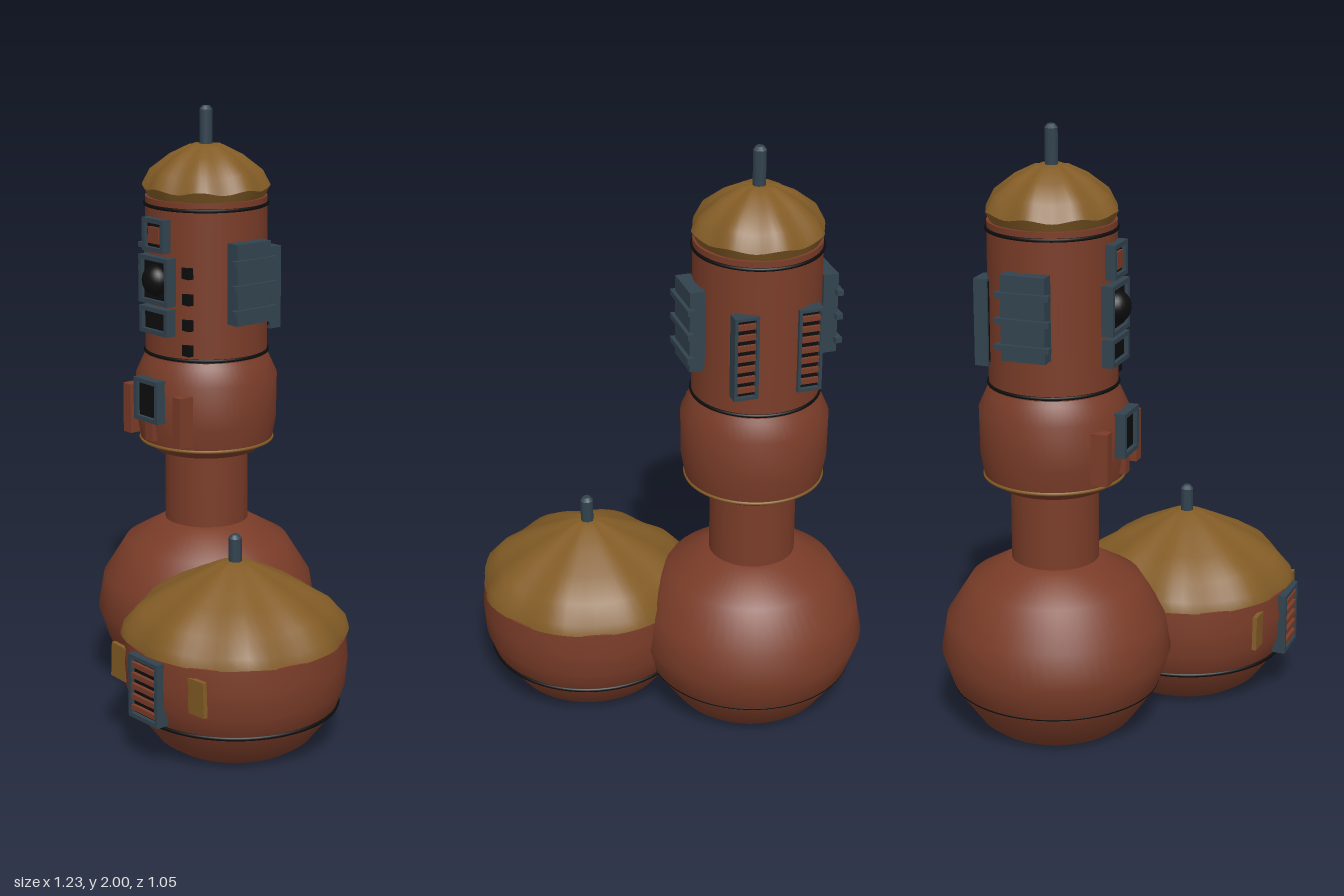
import * as THREE from 'three';
import { toCreasedNormals } from 'three/addons/utils/BufferGeometryUtils.js';

const paint = (name, color) => {
  const m = new THREE.MeshStandardMaterial({ color });
  m.name = name;
  return m;
};

export function createModel() {
  const clay = paint('clay', 0x7a3c28);
  const thatch = paint('ochre', 0x835c26);
  const slate = paint('slate', 0x32434f);
  const black = paint('black', 0x0d0d0e);

  const model = new THREE.Group();
  const tower = new THREE.Group();
  tower.name = 'tower';
  tower.position.set(-0.24, 0, -0.15);
  const hut = new THREE.Group();
  hut.name = 'hut';
  hut.position.set(0.25, 0, 0.137);
  model.add(tower, hut);

  const add = (parent, name, geometry, material, x = 0, y = 0, z = 0) => {
    const mesh = new THREE.Mesh(geometry, material);
    mesh.name = name;
    mesh.position.set(x, y, z);
    parent.add(mesh);
    return mesh;
  };
  const box = (parent, name, mat, w, h, d, x, y, z) =>
    add(parent, name, new THREE.BoxGeometry(w, h, d), mat, x, y, z);
  const turned = (parent, name, mat, profile) => {
    const points = profile.map(([r, y]) => new THREE.Vector2(r, y));
    return add(parent, name, toCreasedNormals(new THREE.LatheGeometry(points, 64), 0.62), mat);
  };
  const ring = (parent, name, mat, radius, y, tube = 0.006) => {
    add(parent, name, new THREE.TorusGeometry(radius, tube, 8, 64), mat, 0, y, 0).rotation.x = Math.PI / 2;
  };

  // Roof with eight soft ridges and a scalloped hem
  const roof = (parent, profile, wave, turn) => {
    const points = profile.map(([r, y]) => new THREE.Vector2(r, y));
    const g = new THREE.LatheGeometry(points, 64);
    const p = g.attributes.position;
    const rMax = Math.max(...profile.map((q) => q[0]));
    for (let i = 0; i < p.count; i++) {
      const x = p.getX(i), z = p.getZ(i), t = Math.hypot(x, z) / rMax;
      const c = Math.cos(8 * (Math.atan2(z, x) + turn));
      const k = 1 + wave * t * c;
      p.setXYZ(i, x * k, p.getY(i) + 0.006 * t * c, z * k);
    }
    add(parent, 'roof', toCreasedNormals(g, 0.8), thatch);
  };
  const finial = (parent, y0, y1) => {
    add(parent, 'finial', new THREE.CylinderGeometry(0.022, 0.022, y1 - y0 - 0.012, 8), slate, 0, (y0 + y1 - 0.012) / 2, 0);
    add(parent, 'finialTip', new THREE.CylinderGeometry(0.012, 0.022, 0.012, 8), slate, 0, y1 - 0.006, 0);
  };

  // Rectangular frame with a dark pane, facing +z
  const framed = (parent, name, w, h, d, x, y, z, edge = 0.015) => {
    const group = new THREE.Group();
    group.name = name;
    group.position.set(x, y, z);
    parent.add(group);
    const rect = (shape, a, b) => shape.moveTo(-a, -b).lineTo(a, -b).lineTo(a, b).lineTo(-a, b).closePath();
    const shape = rect(new THREE.Shape(), w / 2, h / 2);
    shape.holes.push(rect(new THREE.Path(), w / 2 - edge, h / 2 - edge));
    add(group, 'frame', new THREE.ExtrudeGeometry(shape, { depth: d, bevelEnabled: false }), slate);
    box(group, 'pane', black, w - 2 * edge, h - 2 * edge, d * 0.7, 0, 0, d * 0.35);
    return group;
  };
  const slats = (group, count, w, span, thick, z) => {
    for (let i = 0; i < count; i++) {
      box(group, 'slat', clay, w, thick, 0.012, 0, ((i + 0.5) / count - 0.5) * span, z);
    }
  };

  // Tower shell
  turned(tower, 'bulbBase', clay, [[0, 0.008], [0.22, 0.008], [0.255, 0.035], [0.34, 0.155], [0.378, 0.27],
    [0.358, 0.385], [0.28, 0.51], [0.145, 0.588], [0, 0.588]]);
  ring(tower, 'bulbBand', black, 0.337, 0.157, 0.005);
  add(tower, 'neck', new THREE.CylinderGeometry(0.142, 0.142, 0.3, 48), clay, 0, 0.71, 0);
  turned(tower, 'collar', clay, [[0, 0.842], [0.18, 0.842], [0.225, 0.878], [0.238, 0.95], [0.24, 1.1],
    [0.215, 1.155], [0.205, 1.175], [0, 1.175]]);
  ring(tower, 'collarTrim', thatch, 0.224, 0.876);
  add(tower, 'shaft', new THREE.CylinderGeometry(0.204, 0.206, 0.54, 64), clay, 0, 1.435, 0);
  ring(tower, 'lowerBand', black, 0.206, 1.182);
  ring(tower, 'upperBand', black, 0.205, 1.68);
  roof(tower, [[0, 1.7], [0.192, 1.7], [0.21, 1.735], [0.185, 1.785], [0.12, 1.838], [0.055, 1.872], [0, 1.877]], 0.025, 0);
  finial(tower, 1.86, 2);

  // Tower front windows
  const hatch = framed(tower, 'upperWindow', 0.11, 0.11, 0.045, 0, 1.592, 0.185);
  box(hatch, 'hatchPanel', clay, 0.055, 0.055, 0.01, 0, 0, 0.036);
  const lens = framed(tower, 'lensWindow', 0.15, 0.16, 0.045, 0, 1.442, 0.185);
  add(lens, 'lens', new THREE.SphereGeometry(0.052, 24, 16), black, 0, 0, 0.03).scale.z = 0.85;
  framed(tower, 'lowerWindow', 0.145, 0.09, 0.045, 0, 1.306, 0.185);
  framed(tower, 'collarWindow', 0.125, 0.145, 0.045, 0, 1.04, 0.22);
  for (const y of [1.475, 1.388, 1.302, 1.217]) {
    box(tower, 'portSquare', black, 0.035, 0.037, 0.02, 0.113, y, 0.173);
  }

  // Collar ribs
  for (const s of [-1, 1]) box(tower, 'collarRib', clay, 0.04, 0.17, 0.055, s * 0.133, 0.985, 0.212);
  box(tower, 'middleRib', clay, 0.038, 0.07, 0.03, 0, 0.935, 0.235);

  // Side radiators and rear louvres
  for (const s of [-1, 1]) {
    box(tower, 'sideRadiator', slate, 0.05, 0.27, 0.145, s * 0.221, 1.44, 0);
    for (const y of [1.35, 1.432, 1.514]) {
      box(tower, 'radiatorBar', slate, 0.022, 0.018, 0.18, s * 0.247, y, 0);
    }
    const vent = framed(tower, 'rearVent', 0.08, 0.28, 0.045, s * 0.105, 1.39, -0.162, 0.01);
    vent.rotation.y = Math.PI;
    slats(vent, 7, 0.062, 0.25, 0.018, 0.036);
  }

  // Hut shell
  turned(hut, 'hutBody', clay, [[0, 0.005], [0.21, 0.005], [0.255, 0.035], [0.33, 0.135], [0.358, 0.215],
    [0.364, 0.3], [0.358, 0.375], [0, 0.4]]);
  ring(hut, 'hutBand', black, 0.333, 0.141, 0.007);
  roof(hut, [[0, 0.375], [0.362, 0.375], [0.352, 0.41], [0.305, 0.465], [0.22, 0.52], [0.13, 0.567],
    [0.05, 0.607], [0, 0.615]], 0.024, 0.2);
  finial(hut, 0.59, 0.7);

  // Louvred door and shutters
  const door = framed(hut, 'door', 0.145, 0.21, 0.045, 0, 0.265, 0.335, 0.014);
  slats(door, 5, 0.117, 0.18, 0.017, 0.038);
  for (const s of [-1, 1]) {
    const shutter = box(hut, 'shutter', thatch, 0.075, 0.115, 0.015, s * 0.195, 0.288, 0.318);
    shutter.rotation.z = s * 0.05;
  }
  return model;
}
